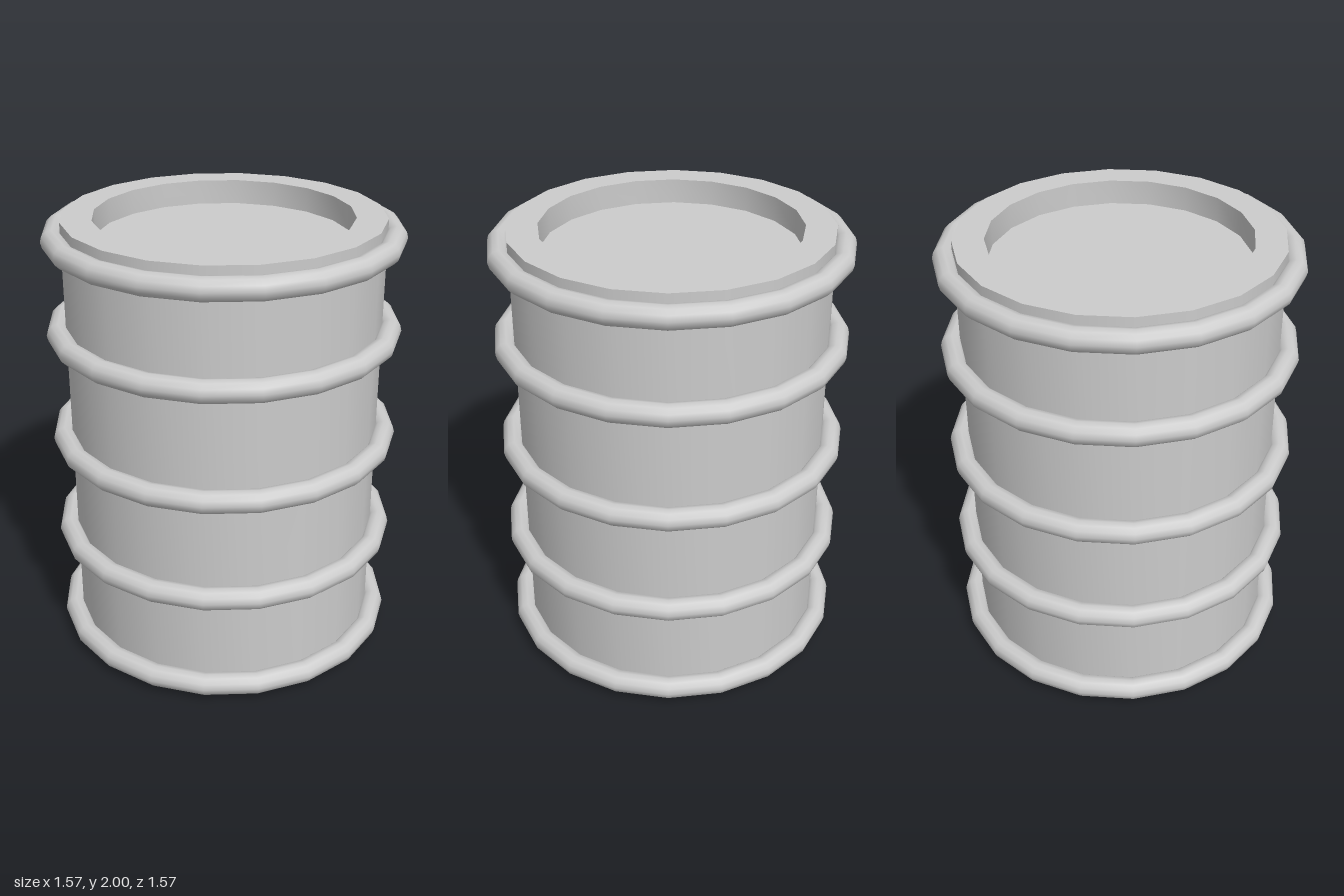
import * as THREE from 'three';
import { toCreasedNormals } from 'three/addons/utils/BufferGeometryUtils.js';

const SIDES = 20;

export function createModel() {
  const group = new THREE.Group();
  group.name = 'barrel';
  const material = new THREE.MeshStandardMaterial({ color: 0xcccccc });

  // Drum body: closed base, straight wall, flat rim and sunken lid
  const profile = [
    [0, 0], [0.7, 0], [0.7, 2], [0.565, 2], [0.565, 1.89], [0, 1.89],
  ].map(([r, y]) => new THREE.Vector2(r, y));
  const body = new THREE.Mesh(
    toCreasedNormals(new THREE.LatheGeometry(profile, SIDES), Math.PI / 6),
    material
  );
  body.name = 'drumBody';
  group.add(body);

  // Rounded hoops around the wall
  const hoopGeometry = new THREE.TorusGeometry(0.735, 0.05, 12, SIDES).rotateX(Math.PI / 2);
  [0.07, 0.526, 1.003, 1.5, 1.92].forEach((y, i) => {
    const hoop = new THREE.Mesh(hoopGeometry, material);
    hoop.name = `hoop${i + 1}`;
    hoop.position.y = y;
    group.add(hoop);
  });

  return group;
}
